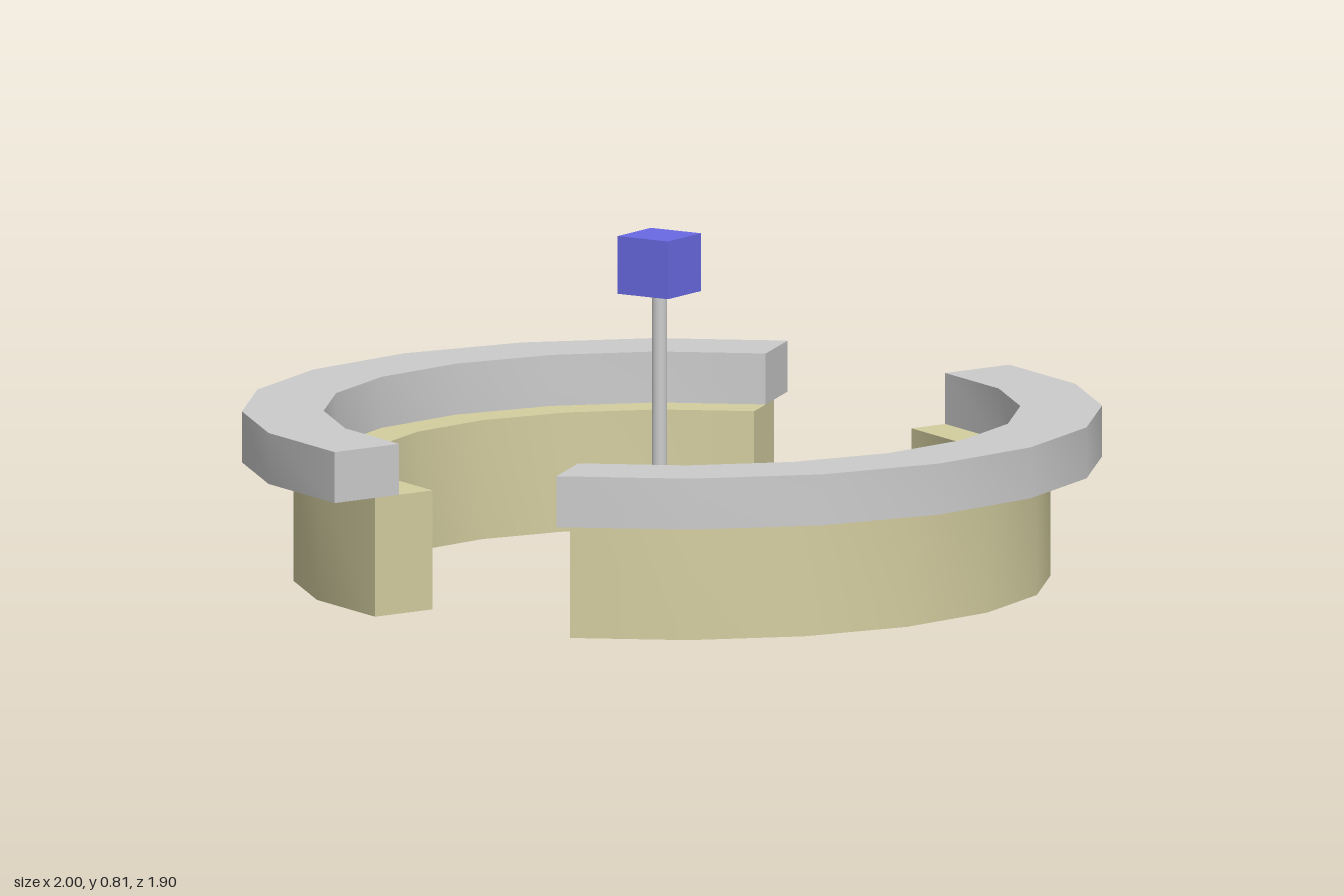
import * as THREE from 'three';
import { toCreasedNormals } from 'three/addons/utils/BufferGeometryUtils.js';

const grey = new THREE.MeshStandardMaterial({ color: 0xcccccc });
const tan = new THREE.MeshStandardMaterial({ color: 0xd4cea0 });
const blue = new THREE.MeshStandardMaterial({ color: 0x6a6ae6 });

function addMesh(parent, name, geometry, material, x = 0, y = 0, z = 0) {
  const mesh = new THREE.Mesh(geometry, material);
  mesh.name = name;
  mesh.position.set(x, y, z);
  parent.add(mesh);
  return mesh;
}

// Faceted ring sector from -72 to 72 degrees around +x, in 18 degree steps
function arcBlock(inner, outer, height) {
  const points = [];
  const at = (r, i) => {
    const a = THREE.MathUtils.degToRad(i * 18);
    return new THREE.Vector2(r * Math.cos(a), r * Math.sin(a));
  };
  for (let i = -4; i <= 4; i++) points.push(at(outer, i));
  for (let i = 4; i >= -4; i--) points.push(at(inner, i));
  const geometry = new THREE.ExtrudeGeometry(new THREE.Shape(points), {
    depth: height, bevelEnabled: false,
  });
  geometry.rotateX(-Math.PI / 2);
  return toCreasedNormals(geometry, Math.PI / 6);
}

export function createModel() {
  const model = new THREE.Group();
  model.name = 'informationDesk';

  // Two facing curved counters
  const baseGeometry = arcBlock(0.71, 0.88, 0.28);
  const topGeometry = arcBlock(0.81, 1, 0.12);
  for (const [name, turn] of [['leftCounter', 0], ['rightCounter', Math.PI]]) {
    const counter = new THREE.Group();
    counter.name = name;
    counter.rotation.y = turn;
    addMesh(counter, 'counterBase', baseGeometry, tan);
    addMesh(counter, 'counterTop', topGeometry, grey, 0, 0.28);
    model.add(counter);
  }

  // Sign post with a foot plate and a cube head
  const sign = new THREE.Group();
  sign.name = 'signPost';
  sign.position.x = -0.035;
  addMesh(sign, 'footPlate', new THREE.CylinderGeometry(0.058, 0.058, 0.01, 24), grey, 0, 0.005);
  addMesh(sign, 'pole', new THREE.CylinderGeometry(0.018, 0.018, 0.67, 16), grey, 0, 0.34);
  addMesh(sign, 'signCube', new THREE.BoxGeometry(0.14, 0.136, 0.14), blue, 0, 0.738);
  model.add(sign);

  return model;
}
